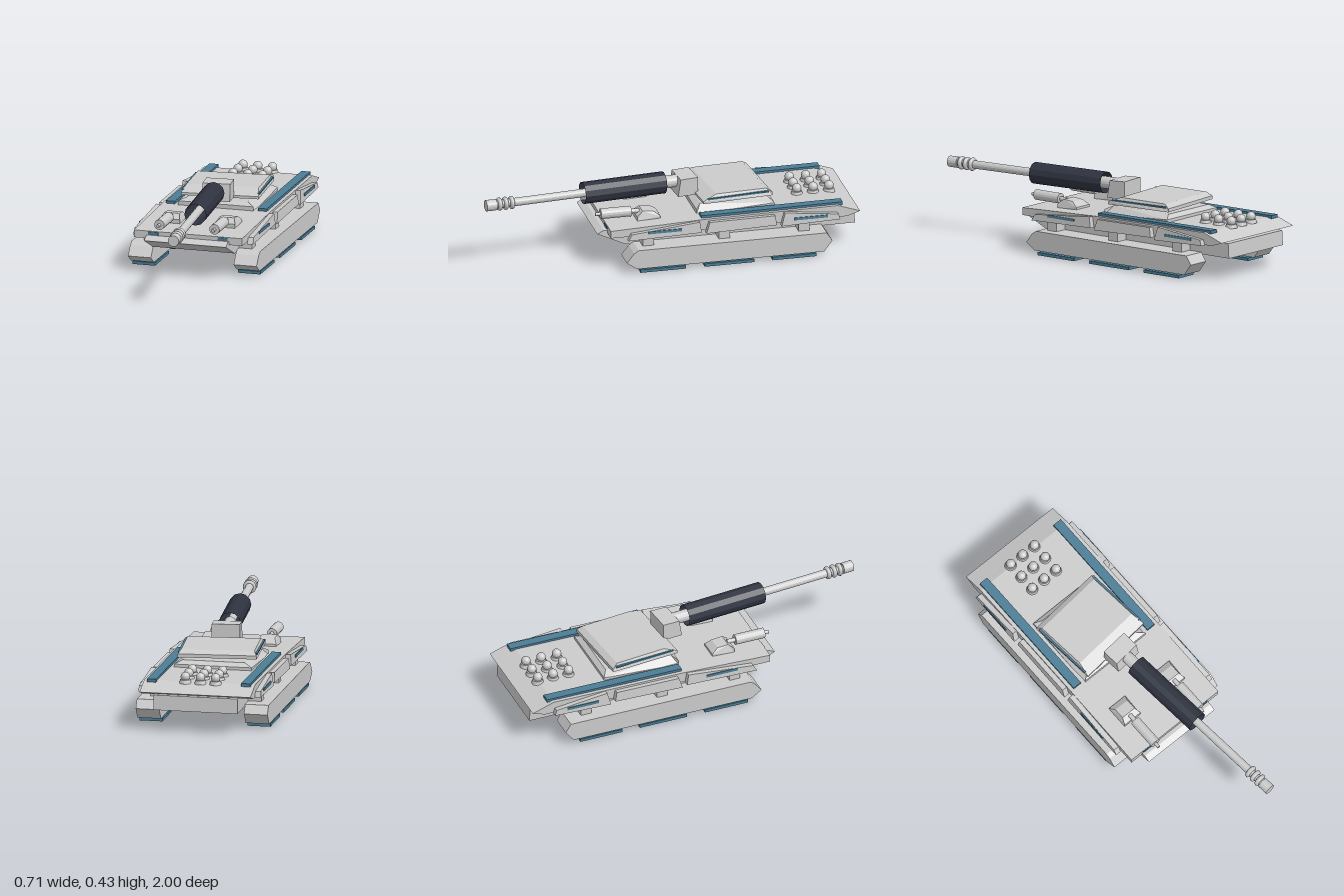
import * as THREE from 'three';

const mat = (color, opts = {}) => new THREE.MeshStandardMaterial({ color, flatShading: true, ...opts });
const grey = mat(0xcccccc);
const smoothGrey = mat(0xcccccc, { flatShading: false });
const teal = mat(0x4a7c95);
const navy = mat(0x2e3340, { side: THREE.DoubleSide });

function add(parent, name, geometry, material = grey, x = 0, y = 0, z = 0) {
  const mesh = new THREE.Mesh(geometry, material);
  mesh.name = name;
  mesh.position.set(x, y, z);
  parent.add(mesh);
  return mesh;
}

// Box given by its limits
function block(parent, name, [x0, x1], [y0, y1], [z0, z1], material = grey) {
  return add(parent, name, new THREE.BoxGeometry(x1 - x0, y1 - y0, z1 - z0), material,
    (x0 + x1) / 2, (y0 + y1) / 2, (z0 + z1) / 2);
}

// Side profile of [z, y] points, extruded across x and centred on x = 0
function profile(points, width) {
  const shape = new THREE.Shape(points.map(([z, y]) => new THREE.Vector2(z, y)));
  return new THREE.ExtrudeGeometry(shape, { depth: width, bevelEnabled: false })
    .translate(0, 0, -width / 2).rotateY(-Math.PI / 2);
}

// Pull in the sides of every vertex above a height
function narrowAbove(geometry, height, factor) {
  const p = geometry.attributes.position;
  for (let i = 0; i < p.count; i++) if (p.getY(i) > height) p.setX(i, p.getX(i) * factor);
  geometry.computeVertexNormals();
  return geometry;
}

// Cylinder lying along z from z0 to z1
function rod(parent, name, r, z0, z1, x, y, sides = 16, material = grey) {
  const g = new THREE.CylinderGeometry(r, r, z1 - z0, sides).rotateX(Math.PI / 2);
  return add(parent, name, g, material, x, y, (z0 + z1) / 2);
}

function buildTurret() {
  const turret = new THREE.Group();
  turret.name = 'turret';
  turret.position.z = -0.33;
  turret.rotation.y = 0.09;
  const body = profile([[-0.2, 0.306], [0.185, 0.306], [0.185, 0.32], [0.11, 0.349], [-0.17, 0.345], [-0.2, 0.325]], 0.42);
  add(turret, 'turretBody', narrowAbove(body, 0.335, 0.93));
  for (const s of [-1, 1])
    add(turret, 'turretStripe', new THREE.BoxGeometry(0.012, 0.008, 0.34), teal, s * 0.206, 0.329, -0.01);
  add(turret, 'mantlet', profile([[0.17, 0.308], [0.28, 0.308], [0.265, 0.402], [0.17, 0.405]], 0.15));

  // Gun, stepped from the mantlet to the muzzle
  const y = 0.37;
  rod(turret, 'gunRoot', 0.033, 0.26, 0.36, 0, y);
  rod(turret, 'gunBarrel', 0.022, 0.34, 1.29, 0, y);
  const sleeve = new THREE.CylinderGeometry(0.059, 0.059, 0.455, 12, 1, true).rotateX(Math.PI / 2);
  add(turret, 'gunSleeve', sleeve, navy, 0, y, 0.563);
  for (const z of [1.188, 1.222, 1.256]) {
    const ring = new THREE.TorusGeometry(0.024, 0.012, 8, 16);
    add(turret, 'muzzleRing', ring, smoothGrey, 0, y, z);
  }
  rod(turret, 'muzzle', 0.03, 1.275, 1.332, 0, y);
  return turret;
}

export function createModel() {
  const tank = new THREE.Group();
  tank.name = 'hoverTank';

  // Hull
  add(tank, 'lowerHull', profile([[0.26, 0.12], [0.415, 0.193], [0.38, 0.21], [-0.985, 0.2], [-0.99, 0.12]], 0.454));
  const deck = profile([[0.358, 0.192], [0.358, 0.232], [-0.14, 0.25], [-0.88, 0.257], [-1, 0.215], [-0.93, 0.192]], 0.6);
  add(tank, 'upperHull', deck);
  const plate = profile([[0.2, 0.245], [0.2, 0.272], [0.17, 0.29], [-0.2, 0.29], [-0.225, 0.27], [-0.225, 0.245]], 0.42);
  add(tank, 'turretPlate', narrowAbove(plate, 0.28, 0.8), grey, 0, 0, -0.33);
  for (const x of [-0.085, 0, 0.085])
    add(tank, 'turretSupport', new THREE.CylinderGeometry(0.015, 0.028, 0.022, 16), grey, x, 0.298, -0.33);
  tank.add(buildTurret());

  // Parts repeated on both sides
  const podProfile = [[0.23, 0.026], [0.285, 0.065], [0.245, 0.115], [0.22, 0.131],
    [-0.805, 0.131], [-0.835, 0.085], [-0.79, 0.026]];
  for (const s of [-1, 1]) {
    const side = new THREE.Group();
    side.name = s > 0 ? 'leftSide' : 'rightSide';
    tank.add(side);
    const span = (a, b) => s > 0 ? [a, b] : [-b, -a];

    // Hover pods, their pads and struts
    add(side, 'hoverPod', profile(podProfile, 0.127), grey, s * 0.293);
    for (const z of [[-0.037, 0.21], [-0.41, -0.14], [-0.75, -0.51]])
      block(side, 'hoverPad', span(0.23, 0.354), [0.002, 0.018], z, teal);
    for (const z of [0.155, -0.26, -0.695])
      block(side, 'strut', span(0.22, 0.3), [0.125, 0.2], [z - 0.03, z + 0.03]);

    // Leaning side skirts: [rear z, front z, base, rear top, front top, has light]
    const skirts = [[-0.13, 0.27, 0.203, 0.272, 0.237, true], [-0.54, -0.155, 0.205, 0.268, 0.265, false],
      [-0.885, -0.565, 0.205, 0.245, 0.278, true]];
    for (const [z0, z1, base, t0, t1, light] of skirts) {
      const skirt = add(side, 'sideSkirt', profile([[z0, base + 0.01], [z1, base], [z1 - 0.02, t1], [z0 + 0.01, t0]], 0.032), grey, s * 0.314);
      const mid = (z0 + z1) / 2;
      if (light) add(skirt, 'skirtLight', new THREE.BoxGeometry(0.006, 0.014, 0.18), teal, s * 0.018, 0.24, mid);
      skirt.rotation.z = s * 0.08;
      skirt.position.x += s * 0.019;
      skirt.position.y -= 0.024;
    }

    // Coloured strips on the deck and nose
    const strip = block(side, 'deckStrip', span(0.23, 0.28), [0.249, 0.266], [-0.91, -0.14], teal);
    strip.rotation.x = 0.005;
    block(side, 'noseLight', span(0.165, 0.22), [0.213, 0.229], [0.35, 0.362], teal);

    // Small forward gun
    const gun = new THREE.Group();
    gun.name = 'deckGun';
    gun.position.x = s * 0.153;
    side.add(gun);
    add(gun, 'gunHousing', narrowAbove(
      profile([[0.065, 0.235], [0.065, 0.255], [0.1, 0.28], [0.16, 0.286], [0.192, 0.26], [0.192, 0.235]], 0.11), 0.27, 0.75));
    rod(gun, 'gunNeck', 0.012, 0.17, 0.23, 0, 0.275);
    rod(gun, 'gunTube', 0.028, 0.215, 0.38, 0, 0.276);
    rod(gun, 'gunTip', 0.009, 0.37, 0.408, 0, 0.276);
  }

  // Nine domes on the rear deck
  for (const x of [-0.087, -0.005, 0.077]) for (const z of [-0.885, -0.798, -0.709]) {
    add(tank, 'domeCollar', new THREE.CylinderGeometry(0.027, 0.033, 0.02, 16), grey, x, 0.26, z);
    add(tank, 'dome', new THREE.SphereGeometry(0.025, 16, 12), smoothGrey, x, 0.285, z);
  }
  return tank;
}
